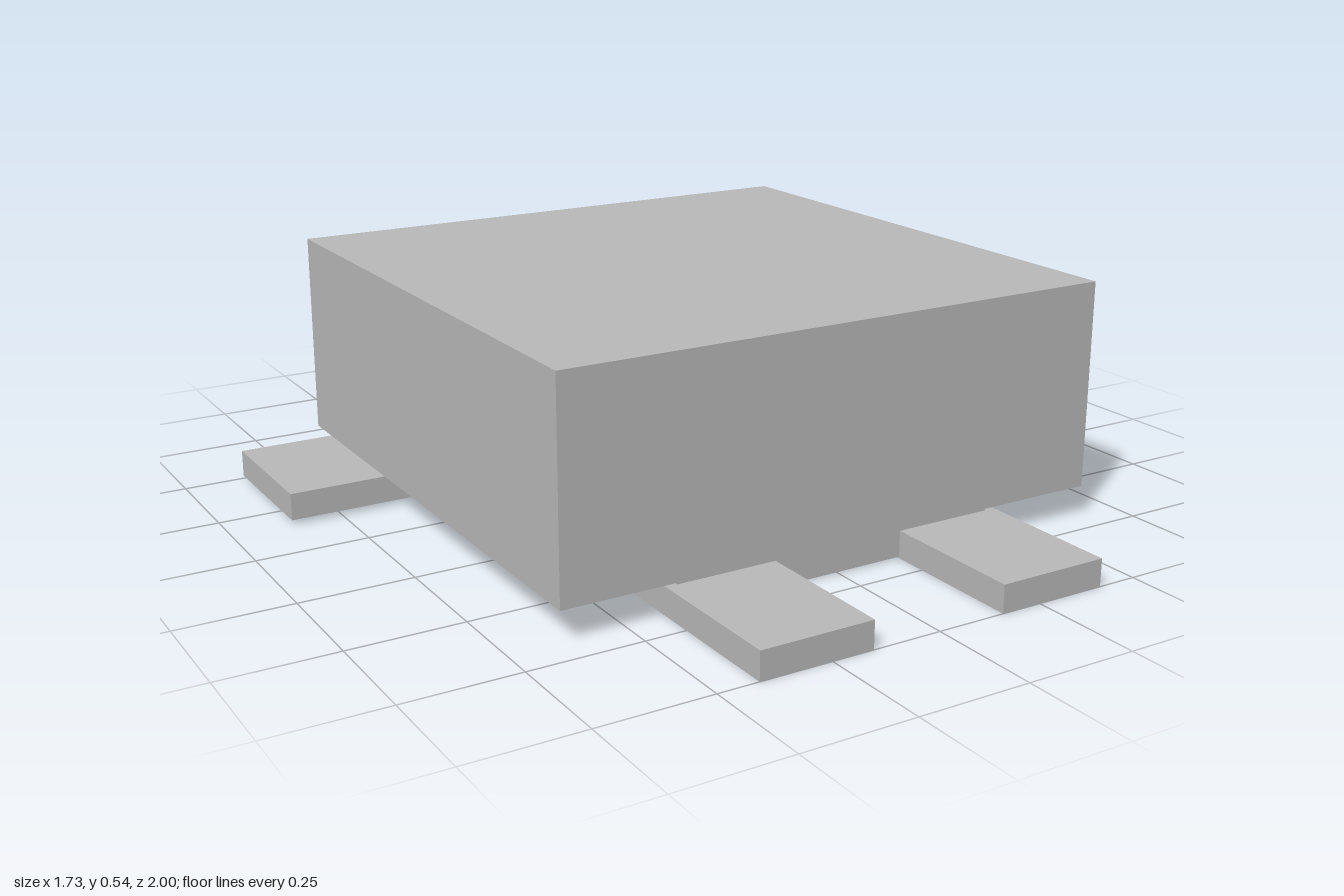
import * as THREE from 'three';

export function createModel() {
  const model = new THREE.Group();
  model.name = 'turtle';

  const grey = new THREE.MeshStandardMaterial({ color: 0xb8b8b8 });
  grey.name = 'plain grey';

  // Adds a box given by its lower and upper corners
  function addBox(name, [x0, y0, z0], [x1, y1, z1]) {
    const mesh = new THREE.Mesh(new THREE.BoxGeometry(x1 - x0, y1 - y0, z1 - z0), grey);
    mesh.name = name;
    mesh.position.set((x0 + x1) / 2, (y0 + y1) / 2, (z0 + z1) / 2);
    model.add(mesh);
  }

  // Body: tall shell block over a thin, narrower belly plate
  addBox('shell', [-0.647, 0.072, -0.575], [0.647, 0.535, 0.69]);
  addBox('belly', [-0.385, 0.003, -0.53], [0.385, 0.072, 0.675]);

  // Head stretches out at the back of the frame
  addBox('head', [-0.204, 0.067, -1], [0.204, 0.4, -0.575]);

  // Flat legs, mirrored in x
  for (const [side, s] of [['left', 1], ['right', -1]]) {
    const pair = (name, inner, outer, y0, y1, z0, z1) =>
      addBox(`${side}${name}`, [Math.min(s * inner, s * outer), y0, z0], [Math.max(s * inner, s * outer), y1, z1]);
    pair('FrontLeg', 0.37, 0.865, 0.01, 0.071, -0.49, -0.157);
    pair('HindLeg', 0.156, 0.41, 0, 0.061, 0.505, 1);
  }

  return model;
}
